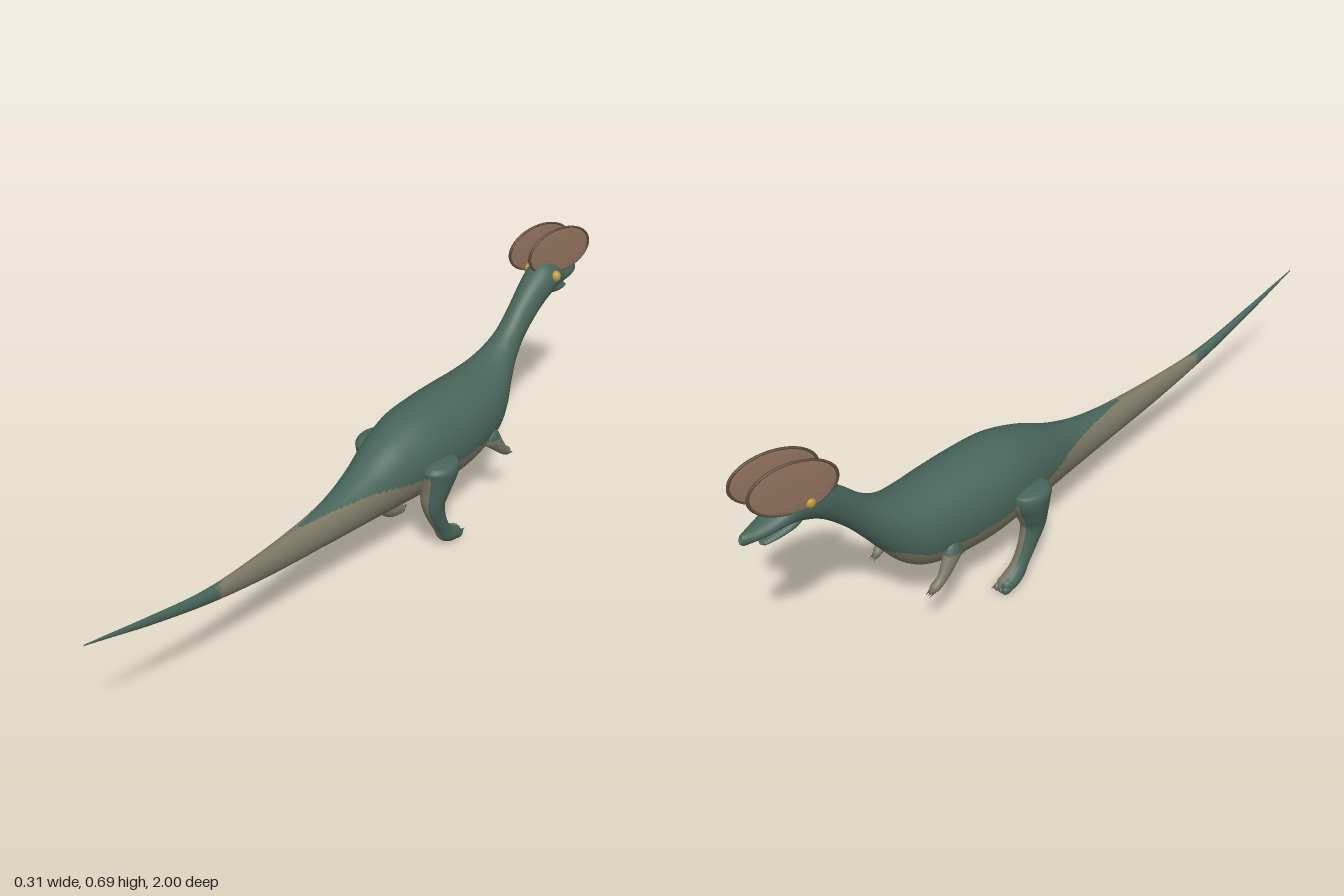
import * as THREE from 'three';

const mat = (name, color) => Object.assign(new THREE.MeshStandardMaterial({ color }), { name });

// Smooth skin through stations [x, y, z, halfWidth, halfDepth].
// Each face goes to the first or second material by isBack(centre, cosAngle).
function loft(stations, rings, sides, materials, isBack, fixedUp) {
  const centres = new THREE.CatmullRomCurve3(stations.map(s => new THREE.Vector3(s[0], s[1], s[2])));
  const radii = new THREE.CatmullRomCurve3(stations.map((s, i) => new THREE.Vector3(s[3], s[4], i * 0.1)));
  const pos = [], back = [], belly = [];
  for (let i = 0; i <= rings; i++) {
    const t = i / rings, c = centres.getPoint(t), r = radii.getPoint(t), d = centres.getTangent(t);
    const up = fixedUp || new THREE.Vector3(0, d.z, -d.y).normalize();
    for (let j = 0; j < sides; j++) {
      const a = j / sides * Math.PI * 2;
      const p = c.clone().addScaledVector(up, Math.max(r.y, 0.0005) * Math.sin(a));
      pos.push(p.x + Math.max(r.x, 0.0005) * Math.cos(a), p.y, p.z);
    }
  }
  const mid = new THREE.Vector3();
  for (let i = 0; i < rings; i++) for (let j = 0; j < sides; j++) {
    const k = (j + 1) % sides;
    const a = i * sides + j, b = i * sides + k, c = a + sides, e = b + sides;
    for (const tri of [[a, b, c], [b, e, c]]) {
      mid.set(0, 0, 0);
      for (const v of tri) mid.add(new THREE.Vector3(pos[v * 3], pos[v * 3 + 1], pos[v * 3 + 2]));
      mid.divideScalar(3);
      (isBack(mid, Math.cos((j + 0.5) / sides * Math.PI * 2)) ? back : belly).push(...tri);
    }
  }
  const g = new THREE.BufferGeometry();
  g.setAttribute('position', new THREE.Float32BufferAttribute(pos, 3));
  g.setIndex([...back, ...belly]);
  g.addGroup(0, back.length, 0);
  g.addGroup(back.length, belly.length, 1);
  g.computeVertexNormals();
  return new THREE.Mesh(g, materials);
}

export function createModel() {
  const green = mat('green hide', 0x48655a);
  const tan = mat('tan belly', 0x7b7864);
  const brown = mat('crest brown', 0x8f705c);
  const rimBrown = mat('crest rim', 0x5e483c);
  const gold = mat('eye gold', 0xc09a38);
  const dark = mat('claw', 0x4a4a40);
  const hide = [green, tan];
  const model = new THREE.Group();
  const add = (name, mesh, parent = model) => { mesh.name = name; parent.add(mesh); return mesh; };

  // Head, neck, trunk and tail: [z, top, bottom, halfWidth]
  const profile = [
    [-1.0, 0.523, 0.517, 0.002], [-0.99, 0.535, 0.508, 0.011], [-0.95, 0.541, 0.508, 0.025],
    [-0.9, 0.556, 0.51, 0.036], [-0.86, 0.585, 0.505, 0.044], [-0.82, 0.597, 0.49, 0.047],
    [-0.77, 0.57, 0.46, 0.042], [-0.7, 0.512, 0.395, 0.037], [-0.65, 0.465, 0.335, 0.043],
    [-0.6, 0.432, 0.27, 0.061], [-0.55, 0.412, 0.21, 0.084], [-0.5, 0.404, 0.178, 0.1],
    [-0.4, 0.404, 0.156, 0.112], [-0.3, 0.405, 0.15, 0.115], [-0.2, 0.402, 0.156, 0.108],
    [-0.1, 0.374, 0.163, 0.09], [0, 0.328, 0.17, 0.068], [0.1, 0.297, 0.177, 0.051],
    [0.2, 0.283, 0.186, 0.039], [0.4, 0.278, 0.207, 0.023], [0.6, 0.284, 0.245, 0.014],
    [0.8, 0.321, 0.298, 0.008], [0.92, 0.347, 0.336, 0.004], [1.0, 0.364, 0.361, 0.001],
  ];
  const bellyLine = z => 0.25 + 0.03 * THREE.MathUtils.smoothstep(z, -0.2, 0.05)
    + 0.03 * THREE.MathUtils.smoothstep(-z, 0.5, 0.6);
  add('body', loft(
    profile.map(([z, t, b, w]) => [0, (t + b) / 2, z, w, (t - b) / 2]),
    230, 72, hide, p => p.y > bellyLine(p.z) || p.z > 0.57, new THREE.Vector3(0, 1, 0)));

  // Lower jaw, slightly open
  add('lowerJaw', loft([
    [0, 0.486, -0.945, 0.002, 0.002], [0, 0.488, -0.938, 0.014, 0.006],
    [0, 0.496, -0.9, 0.025, 0.011], [0, 0.51, -0.85, 0.03, 0.016], [0, 0.52, -0.82, 0.01, 0.01],
  ], 24, 24, hide, () => true, new THREE.Vector3(0, 1, 0)));

  // Twin oval head crests, both turned the same way
  for (const [name, x, y, z] of [['rightCrest', -0.038, 0.618, -0.868], ['leftCrest', 0.024, 0.622, -0.872]]) {
    const crest = add(name, new THREE.Group());
    crest.position.set(x, y, z);
    crest.rotation.y = 1.27;
    add('crestPlate', new THREE.Mesh(new THREE.SphereGeometry(1, 40, 24), brown), crest).scale.set(0.106, 0.066, 0.004);
    const rim = add('crestRim', new THREE.Mesh(new THREE.TorusGeometry(1, 0.04, 8, 56), rimBrown), crest);
    rim.scale.set(0.106, 0.066, 0.1);
  }

  const claw = (name, parent, x, y, z, r, len, tilt) => {
    const c = add(name, new THREE.Mesh(new THREE.ConeGeometry(r, len, 8), dark), parent);
    c.position.set(x, y, z);
    c.rotation.x = tilt;
  };

  for (const s of [1, -1]) {
    const side = s > 0 ? 'left' : 'right';
    const mirror = st => st.map(([x, ...rest]) => [x * s, ...rest]);

    const eye = add(side + 'Eye', new THREE.Mesh(new THREE.SphereGeometry(0.014, 20, 14), gold));
    eye.position.set(s * 0.044, 0.563, -0.83);
    eye.scale.y = 1.15;

    // Hind leg from hip to foot, green on its outer side
    const leg = add(side + 'HindLeg', new THREE.Group());
    add('leg', loft(mirror([
      [0.108, 0.297, -0.195, 0.004, 0.004], [0.11, 0.29, -0.195, 0.036, 0.05],
      [0.108, 0.27, -0.195, 0.046, 0.06], [0.103, 0.22, -0.186, 0.041, 0.047],
      [0.1, 0.17, -0.18, 0.031, 0.036], [0.099, 0.12, -0.196, 0.023, 0.028],
      [0.098, 0.07, -0.222, 0.021, 0.022], [0.097, 0.04, -0.243, 0.023, 0.025],
      [0.097, 0.026, -0.268, 0.024, 0.023], [0.097, 0.023, -0.29, 0.02, 0.018],
      [0.097, 0.022, -0.3, 0.003, 0.003],
    ]), 70, 40, hide, (p, c) => p.y > 0.265 || c * s > 0.35), leg);
    for (const k of [-1, 0, 1]) {
      const toe = add('toe', new THREE.Mesh(new THREE.SphereGeometry(1, 12, 10), k === s ? green : tan), leg);
      toe.position.set(s * 0.097 + k * 0.014, 0.017, -0.287);
      toe.scale.set(0.009, 0.012, 0.018);
      claw('toeClaw', leg, s * 0.097 + k * 0.015, 0.021, -0.305, 0.005, 0.018, -Math.PI / 2);
    }

    // Small forelimb
    const arm = add(side + 'Forelimb', new THREE.Group());
    add('arm', loft(mirror([
      [0.086, 0.262, -0.43, 0.004, 0.004], [0.091, 0.245, -0.447, 0.022, 0.028],
      [0.1, 0.21, -0.475, 0.017, 0.021], [0.104, 0.18, -0.502, 0.012, 0.014],
      [0.102, 0.162, -0.527, 0.012, 0.012], [0.1, 0.152, -0.54, 0.002, 0.002],
    ]), 36, 28, hide, p => p.y > 0.235), arm);
    for (const k of [-1, 0, 1])
      claw('fingerClaw', arm, s * 0.101 + k * 0.007, 0.154, -0.539, 0.004, 0.022, -2);
  }
  return model;
}
